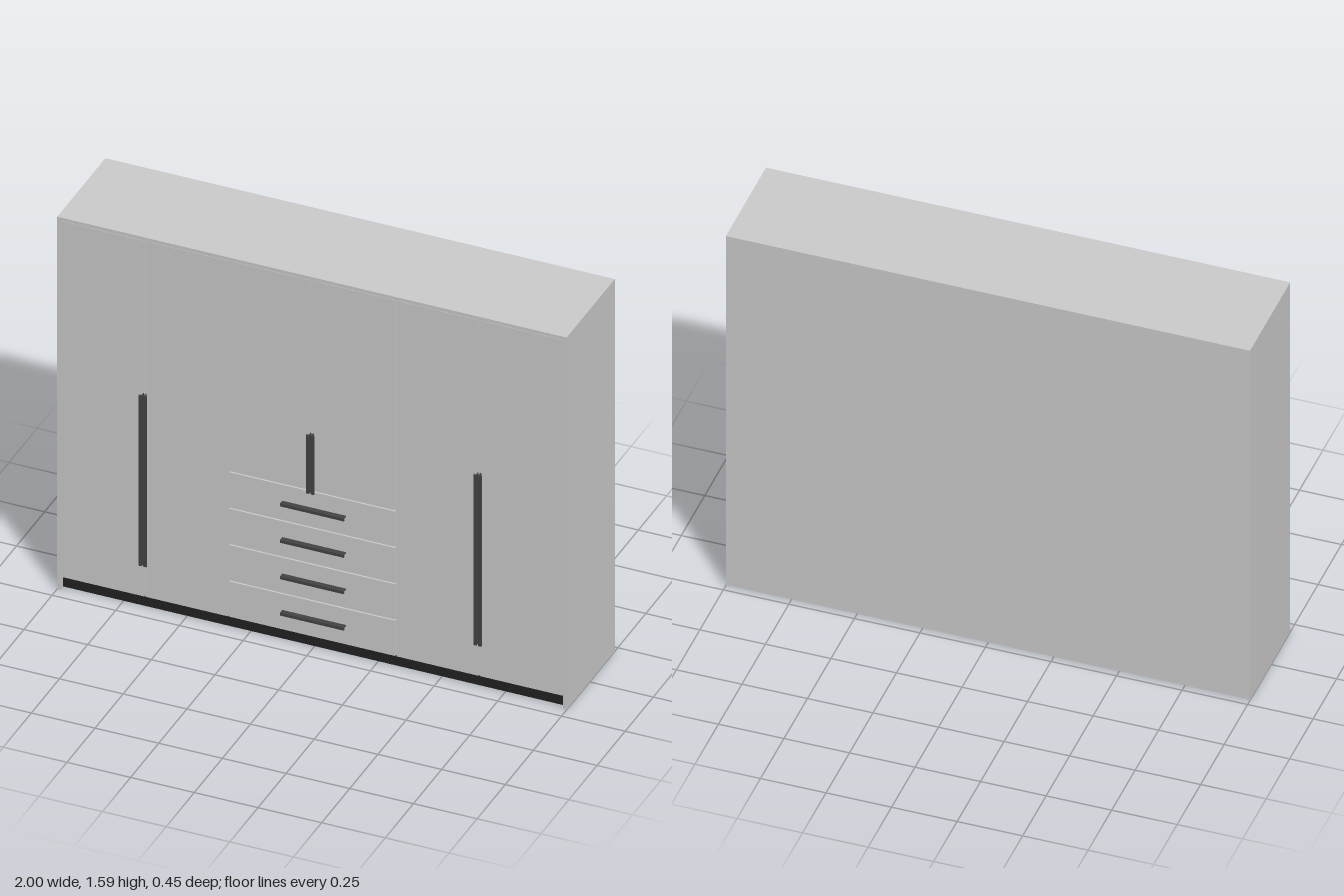
import * as THREE from 'three';

const grey = new THREE.MeshStandardMaterial({ color: 0xcccccc });
const black = new THREE.MeshStandardMaterial({ color: 0x222222 });
const dark = new THREE.MeshStandardMaterial({ color: 0x444444 });

const W = 1, H = 1.585, BACK = -0.224, FRONT = 0.204, T = 0.014;
const PLINTH = 0.052, TOP = H - T, GAP = 0.005, DOOR = 0.012;
const DRAWER_TOP = 0.672, BAY = 0.328;

// Box given by its lower and upper corners
function panel(name, [x0, y0, z0], [x1, y1, z1], material = grey) {
  const mesh = new THREE.Mesh(new THREE.BoxGeometry(x1 - x0, y1 - y0, z1 - z0), material);
  mesh.position.set((x0 + x1) / 2, (y0 + y1) / 2, (z0 + z1) / 2);
  mesh.name = name;
  return mesh;
}

// Front panel with a small gap on all four sides
function frontPanel(name, x0, x1, y0, y1) {
  const g = GAP / 2;
  return panel(name, [x0 + g, y0 + g, FRONT - DOOR - 0.002], [x1 - g, y1 - g, FRONT - 0.002]);
}

// L-shaped strip along z-outward stem, with a lip towards +x; length runs along y
function handleStrip(name, length) {
  const s = new THREE.Shape();
  const d = 0.021, lip = 0.012, t = 0.004;
  [[0, 0], [t, 0], [t, d - t], [lip, d - t - 0.004], [lip, d], [0, d]]
    .forEach(([x, y], i) => (i ? s.lineTo(x, y) : s.moveTo(x, y)));
  const geo = new THREE.ExtrudeGeometry(s, { depth: length, bevelEnabled: false });
  // Profile (x, y) becomes (-x, z), extrusion becomes y; then turn the lip to +x
  geo.applyMatrix4(new THREE.Matrix4().set(
    -1, 0, 0, 0,
    0, 0, 1, 0,
    0, 1, 0, 0,
    0, 0, 0, 1));
  const mesh = new THREE.Mesh(geo, dark);
  mesh.name = name;
  return mesh;
}

// Two strips back to back across the gap between a pair of doors
function handlePair(x, y0, y1) {
  const pair = new THREE.Group();
  pair.name = 'doorHandles';
  const a = handleStrip('doorHandleRight', y1 - y0);
  a.position.x = -0.003;
  const b = handleStrip('doorHandleLeft', y1 - y0);
  // Mirrored copy
  b.scale.x = -1;
  b.position.x = 0.003;
  pair.add(a, b);
  pair.position.set(x, y0, FRONT - 0.002);
  return pair;
}

export function createModel() {
  const model = new THREE.Group();
  model.name = 'wardrobe';

  // Carcass
  const carcass = new THREE.Group();
  carcass.name = 'carcass';
  carcass.add(
    panel('rightSide', [-W, 0, BACK], [-W + T, H, FRONT]),
    panel('leftSide', [W - T, 0, BACK], [W, H, FRONT]),
    panel('topPanel', [-W + T, TOP, BACK], [W - T, H, FRONT]),
    panel('backPanel', [-W + T, 0.002, BACK + 0.002], [W - T, TOP, BACK + 0.01]),
    panel('floorPanel', [-W + T, PLINTH - 0.002, BACK + 0.01], [W - T, PLINTH + 0.012, FRONT - 0.016]),
    panel('middleShelf', [-BAY, DRAWER_TOP - 0.007, BACK + 0.01], [BAY, DRAWER_TOP + 0.007, FRONT - 0.016]));
  for (const x of [-BAY, BAY])
    carcass.add(panel('divider', [x - 0.007, PLINTH, BACK + 0.01], [x + 0.007, TOP, FRONT - 0.016]));
  model.add(carcass);

  // Plinth, set back slightly from the doors
  model.add(panel('plinth', [-W + T, 0.003, BACK + 0.01], [W - T, PLINTH - 0.002, FRONT - 0.02], black));

  // Six doors; the middle two stop above the drawers
  const edges = [-W + T, -0.657, -BAY, 0, BAY, 0.657, W - T];
  for (let i = 0; i < 6; i++) {
    const bottom = i === 2 || i === 3 ? DRAWER_TOP : PLINTH;
    model.add(frontPanel('door', edges[i], edges[i + 1], bottom, TOP));
  }

  // Four drawers with horizontal handles
  const step = (DRAWER_TOP - PLINTH) / 4;
  for (let i = 0; i < 4; i++) {
    const y = PLINTH + i * step;
    model.add(frontPanel('drawerFront', -BAY, BAY, y, y + step));
    const handle = handleStrip('drawerHandle', 0.25);
    // Lay the strip along x with its lip pointing down
    handle.rotation.z = Math.PI / 2;
    handle.position.set(0.133, y + 0.085, FRONT - 0.002);
    model.add(handle);
  }

  // Door handles
  model.add(handlePair(-0.657, 0.195, 0.92), handlePair(0.657, 0.195, 0.92), handlePair(0, 0.672, 0.92));
  return model;
}
